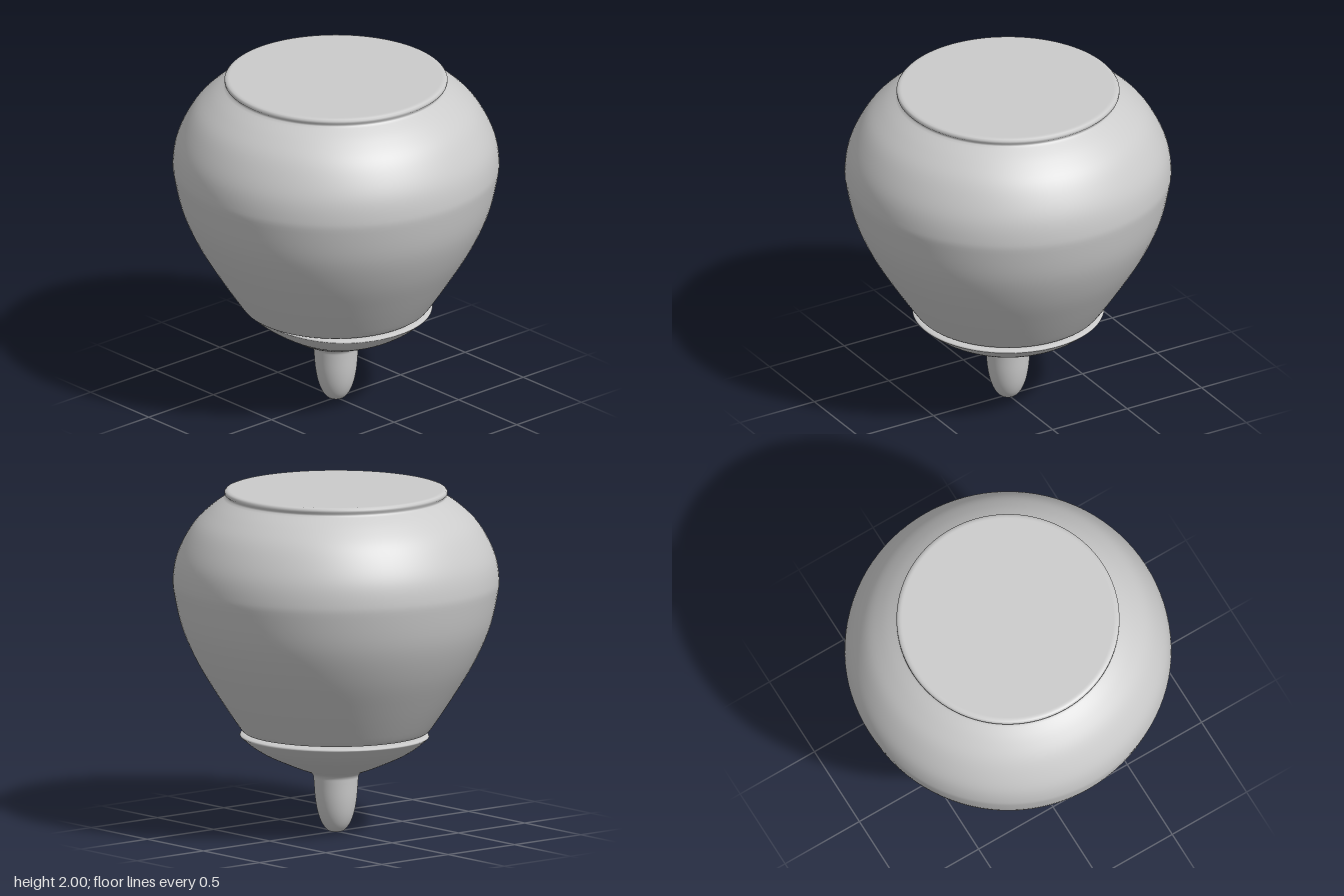
import * as THREE from 'three';

const material = new THREE.MeshStandardMaterial({ color: 0xcccccc });
const SEGMENTS = 96;

// Smooth curve through [radius, height] pairs
function smooth(pairs, divisions) {
  return new THREE.SplineCurve(pairs.map(([r, y]) => new THREE.Vector2(r, y))).getPoints(divisions);
}

const points = (pairs) => pairs.map(([r, y]) => new THREE.Vector2(r, y));

function turned(name, profile) {
  const mesh = new THREE.Mesh(new THREE.LatheGeometry(profile, SEGMENTS), material);
  mesh.name = name;
  return mesh;
}

export function createModel() {
  const group = new THREE.Group();
  group.name = 'turnedVessel';

  // Full-bellied body with a closed floor, short neck, lip and flat lid
  group.add(turned('body', [
    ...points([[0, 0.585], [0.515, 0.585]]),
    ...smooth([
      [0.53, 0.587], [0.56, 0.62], [0.68, 0.8], [0.8, 1.0], [0.888, 1.2],
      [0.934, 1.4], [0.94, 1.49], [0.922, 1.6], [0.875, 1.71], [0.81, 1.81],
      [0.72, 1.895], [0.635, 1.955],
    ], 48),
    ...points([[0.632, 1.965], [0.642, 1.975], [0.642, 1.988], [0.634, 1.997], [0.62, 2], [0.61, 2], [0, 2]]),
  ]));

  // Flared saucer that narrows into a rounded peg
  const foot = turned('saucerAndPeg', [
    ...smooth([
      [0, 0.003], [0.035, 0.005], [0.06, 0.022], [0.085, 0.06], [0.106, 0.12],
      [0.12, 0.2], [0.128, 0.3], [0.133, 0.333], [0.155, 0.353], [0.23, 0.382],
      [0.32, 0.42], [0.41, 0.462], [0.48, 0.505], [0.53, 0.545], [0.553, 0.565],
    ], 56),
    ...points([[0.555, 0.57], [0.55, 0.576], [0.53, 0.58], [0.51, 0.581], [0, 0.581]]),
  ]);
  foot.geometry.translate(0, -0.003, 0);

  // The saucer is worn in slightly on its right side
  const position = foot.geometry.attributes.position;
  for (let i = 0; i < position.count; i++) {
    const x = position.getX(i), z = position.getZ(i);
    const r = Math.hypot(x, z);
    if (r < 0.2 || x > 0) continue;
    const k = 1 - 0.115 * Math.pow(-x / r, 4) * Math.min(1, (r - 0.2) / 0.15);
    position.setX(i, x * k);
    position.setZ(i, z * k);
  }
  group.add(foot);

  return group;
}
